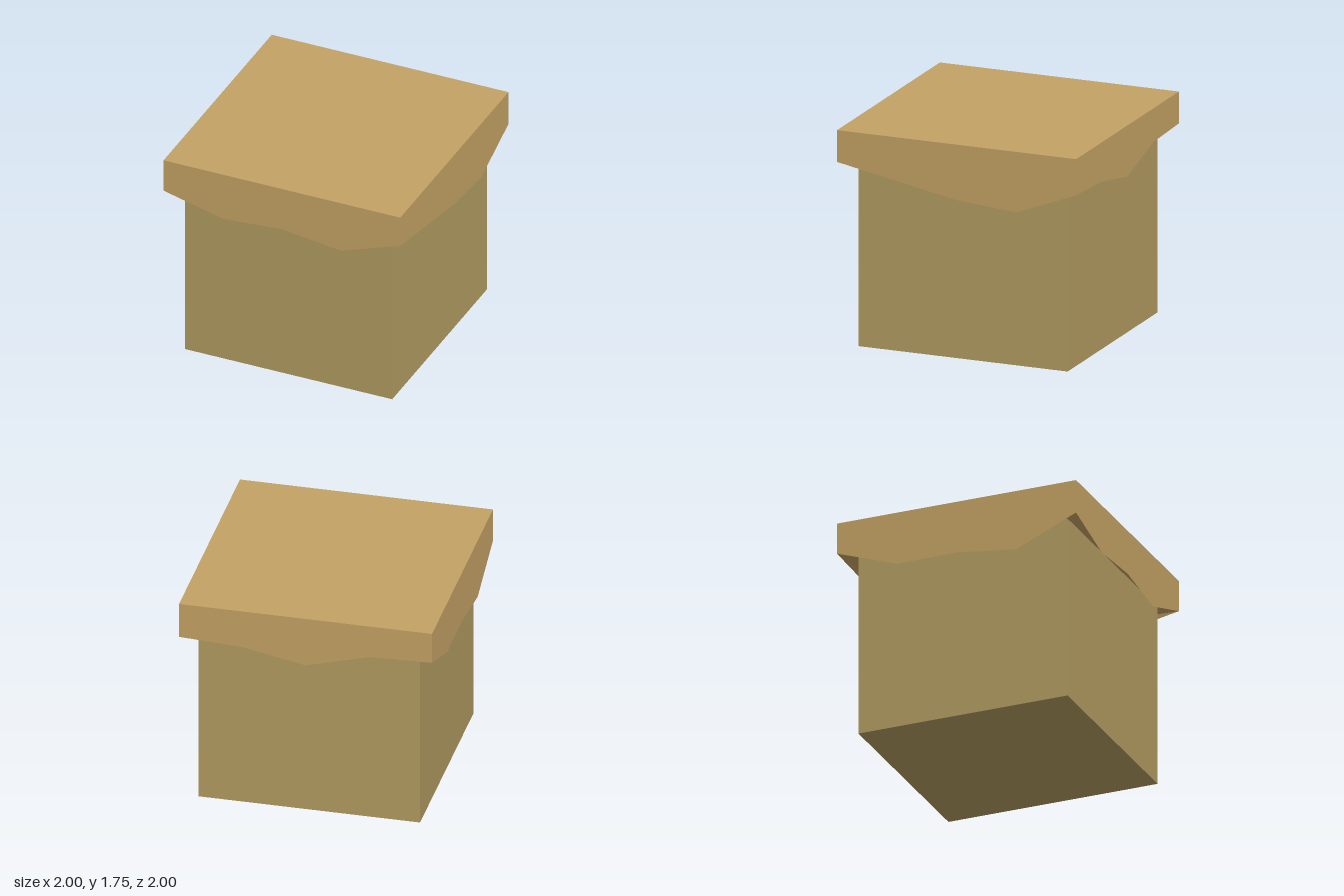
import * as THREE from 'three';

const TOP = 1.75, UNDER = 1.5, INSET = 0.97;

// Hem heights along each side, walked from the front-left corner of the plan
// (front: -x to +x, then +z to -z, then +x to -x, then -z to +z).
const HEM = [
  [1.475, 1.35, 1.385, 1.32],
  [1.495, 1.4, 1.305, 1.265],
  [1.46, 1.435, 1.34, 1.48],
  [1.495, 1.317, 1.32, 1.255],
];

// Triangles for a quad whose corners run counter-clockwise seen from outside
function quad(out, a, b, c, d) {
  for (const p of [a, b, c, a, c, d]) out.push(...p);
}

function lidGeometry() {
  // Plan points around the square, paired with the hem heights
  const corners = [[-1, 1], [1, 1], [1, -1], [-1, -1]];
  const ring = [];
  HEM.forEach((side, s) => {
    const [a, b] = [corners[s], corners[(s + 1) % 4]];
    side.forEach((y, i) => {
      const t = i / side.length;
      ring.push([a[0] + (b[0] - a[0]) * t, y, a[1] + (b[1] - a[1]) * t]);
    });
  });

  const pos = [];
  const inner = ([x, , z]) => [x * INSET, UNDER, z * INSET];
  ring.forEach((p, i) => {
    const q = ring[(i + 1) % ring.length];
    // outer skirt
    quad(pos, p, q, [q[0], TOP, q[2]], [p[0], TOP, p[2]]);
    // sloping inside of the hem
    quad(pos, p, inner(p), inner(q), q);
  });
  // flat top and flat underside
  const level = (y, s) => corners.map(([x, z]) => [x * s, y, z * s]);
  quad(pos, ...level(TOP, 1));
  quad(pos, ...level(UNDER, INSET).reverse());

  const g = new THREE.BufferGeometry();
  g.setAttribute('position', new THREE.Float32BufferAttribute(pos, 3));
  g.computeVertexNormals();
  return g;
}

export function createModel() {
  const model = new THREE.Group();
  model.name = 'block';

  // Square body
  const body = new THREE.Mesh(
    new THREE.BoxGeometry(1.75, UNDER, 1.75),
    new THREE.MeshStandardMaterial({ color: 0xb09a60, flatShading: true })
  );
  body.name = 'body';
  body.position.y = UNDER / 2;

  // Overhanging top layer with an uneven hem
  const lid = new THREE.Mesh(
    lidGeometry(),
    new THREE.MeshStandardMaterial({ color: 0xc3a163, flatShading: true })
  );
  lid.name = 'overhangingTop';

  model.add(body, lid);
  return model;
}
